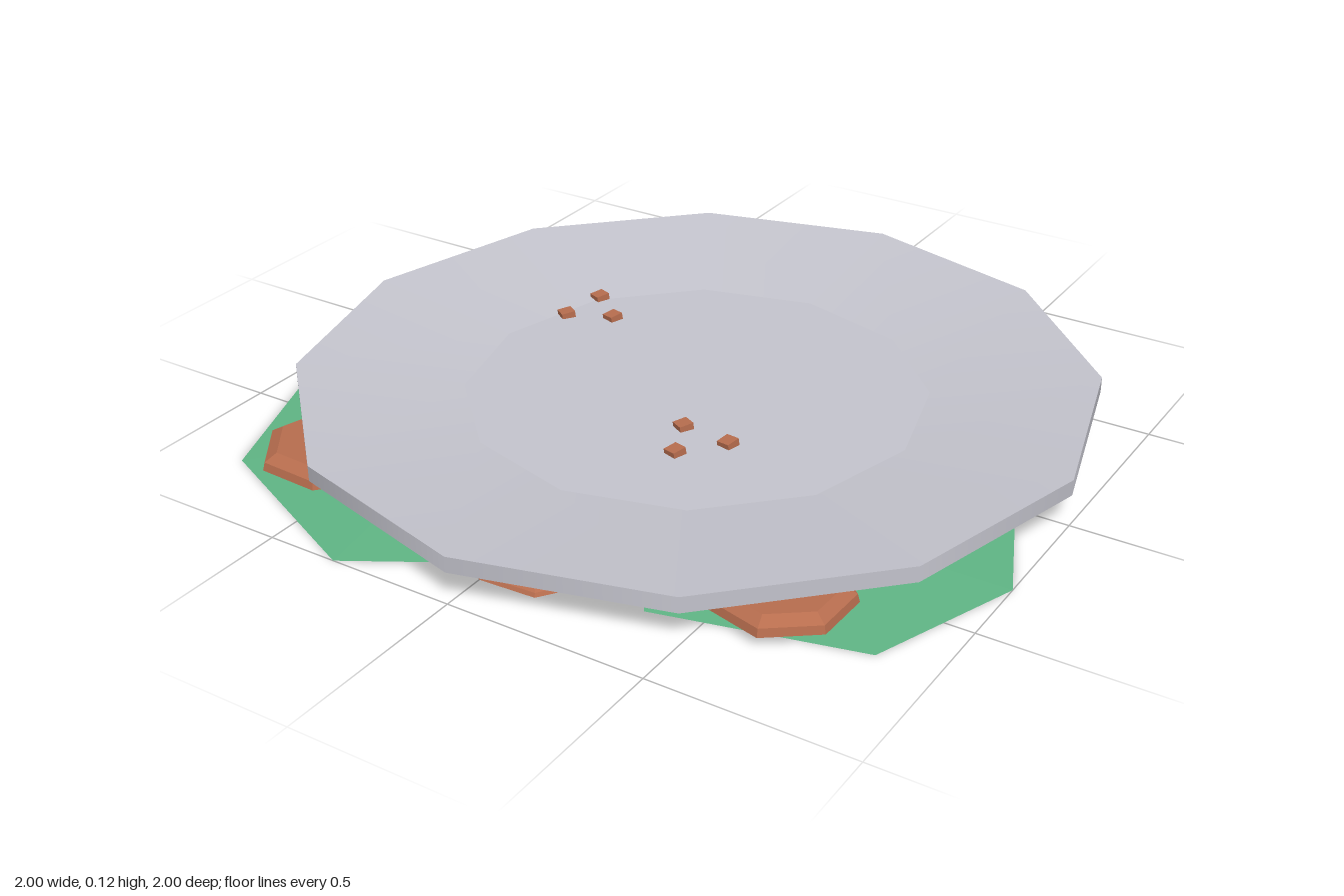
import * as THREE from 'three';
import { mergeGeometries } from 'three/addons/utils/BufferGeometryUtils.js';

const plateGrey = new THREE.MeshStandardMaterial({ color: 0xc4c4cd });
plateGrey.name = 'plate grey';
const leafGreen = new THREE.MeshStandardMaterial({ color: 0x5fb484, side: THREE.DoubleSide });
leafGreen.name = 'leaf green';
const pieceBrown = new THREE.MeshStandardMaterial({ color: 0xb76d4e });
pieceBrown.name = 'piece brown';

function add(parent, name, geometry, material) {
  const mesh = new THREE.Mesh(geometry, material);
  mesh.name = name;
  parent.add(mesh);
  return mesh;
}

function faceted(geometry) {
  const flat = geometry.index ? geometry.toNonIndexed() : geometry;
  flat.computeVertexNormals();
  return flat;
}

// Twelve-sided dish: each profile section is smooth, with sharp edges between
function plateGeometry() {
  const profile = [[0, 0.008], [0.73, 0.008], [1, 0.08], [1, 0.12], [0.58, 0.07], [0, 0.07]];
  const sections = [];
  for (let i = 0; i < profile.length - 1; i++) {
    const pair = [profile[i], profile[i + 1]].map(([r, y]) => new THREE.Vector2(r, y));
    sections.push(new THREE.LatheGeometry(pair, 12));
  }
  return mergeGeometries(sections);
}

// Thin leaf: a shallow dome fanned out from the centre of its outline
function leafGeometry(outline) {
  const n = outline.length;
  const cx = outline.reduce((s, p) => s + p[0], 0) / n;
  const cz = outline.reduce((s, p) => s + p[1], 0) / n;
  const positions = [];
  outline.forEach(([x, z], i) => {
    const [x2, z2] = outline[(i + 1) % n];
    positions.push(cx, 0.022, cz, x, 0, z, x2, 0, z2);
  });
  const geometry = new THREE.BufferGeometry();
  geometry.setAttribute('position', new THREE.Float32BufferAttribute(positions, 3));
  geometry.computeVertexNormals();
  return geometry;
}

// Low bevelled slab
function slabGeometry(radius, height) {
  const profile = [[0, 0.004], [0.72, 0.004], [1, 0.028], [0.97, height - 0.018], [0.8, height], [0, height]];
  const points = profile.map(([r, y]) => new THREE.Vector2(r * radius, y));
  return faceted(new THREE.LatheGeometry(points, 7));
}

export function createModel() {
  const model = new THREE.Group();
  model.name = 'platedLeaves';

  add(model, 'plate', plateGeometry(), plateGrey);

  // Three leaves spread under the plate, outlines as [x, z] counter-clockwise from above
  const leaves = [
    [[-0.83, -0.22], [-1, 0.26], [-0.8, 0.78], [-0.32, 1], [0.19, 0.7], [0.15, 0.2], [-0.28, -0.2]],
    [[0.11, 0.34], [0.37, 0.8], [0.86, 0.68], [1, 0.31], [0.85, -0.04], [0.4, -0.02]],
    [[0.64, -0.78], [0.16, -1], [-0.38, -0.75], [-0.34, -0.3], [0.05, 0], [0.6, 0.05], [0.81, -0.25]],
  ];
  for (const outline of leaves) add(model, 'leaf', leafGeometry(outline), leafGreen);

  // Brown pieces between leaves and plate: x, z, radius, height, turn
  const pieces = [
    [-0.6, 0.66, 0.185, 0.066, 0.4],
    [0.61, 0.63, 0.165, 0.066, 0.2],
    [0.09, 0.77, 0.165, 0.055, 0.5],
    [0.24, -0.7, 0.16, 0.055, 0.9],
    [-0.14, -0.77, 0.16, 0.055, 0.1],
    [0.14, 0.23, 0.16, 0.06, 0.6],
    [-0.46, -0.22, 0.16, 0.06, 0.3],
  ];
  for (const [x, z, radius, height, turn] of pieces) {
    const piece = add(model, 'brownPiece', slabGeometry(radius, height), pieceBrown);
    piece.position.set(x, 0, z);
    piece.rotation.y = turn;
  }

  // Small crumbs showing above the plate floor, and one on a front piece
  const crumbs = [
    [-0.5, -0.305, 0.4], [-0.4, -0.22, 0.3], [-0.515, -0.17, 0.6],
    [0.08, 0.185, 0.5], [0.215, 0.2, 0.2], [0.13, 0.3, 0.3], [-0.6, 0.66, 0.2],
  ];
  for (const [x, z, turn] of crumbs) {
    const crumb = add(model, 'crumb', new THREE.BoxGeometry(0.037, 0.03, 0.037), pieceBrown);
    crumb.position.set(x, z > 0.5 ? 0.064 : 0.07, z);
    crumb.rotation.set(0.12, -turn, 0.1);
  }

  return model;
}
